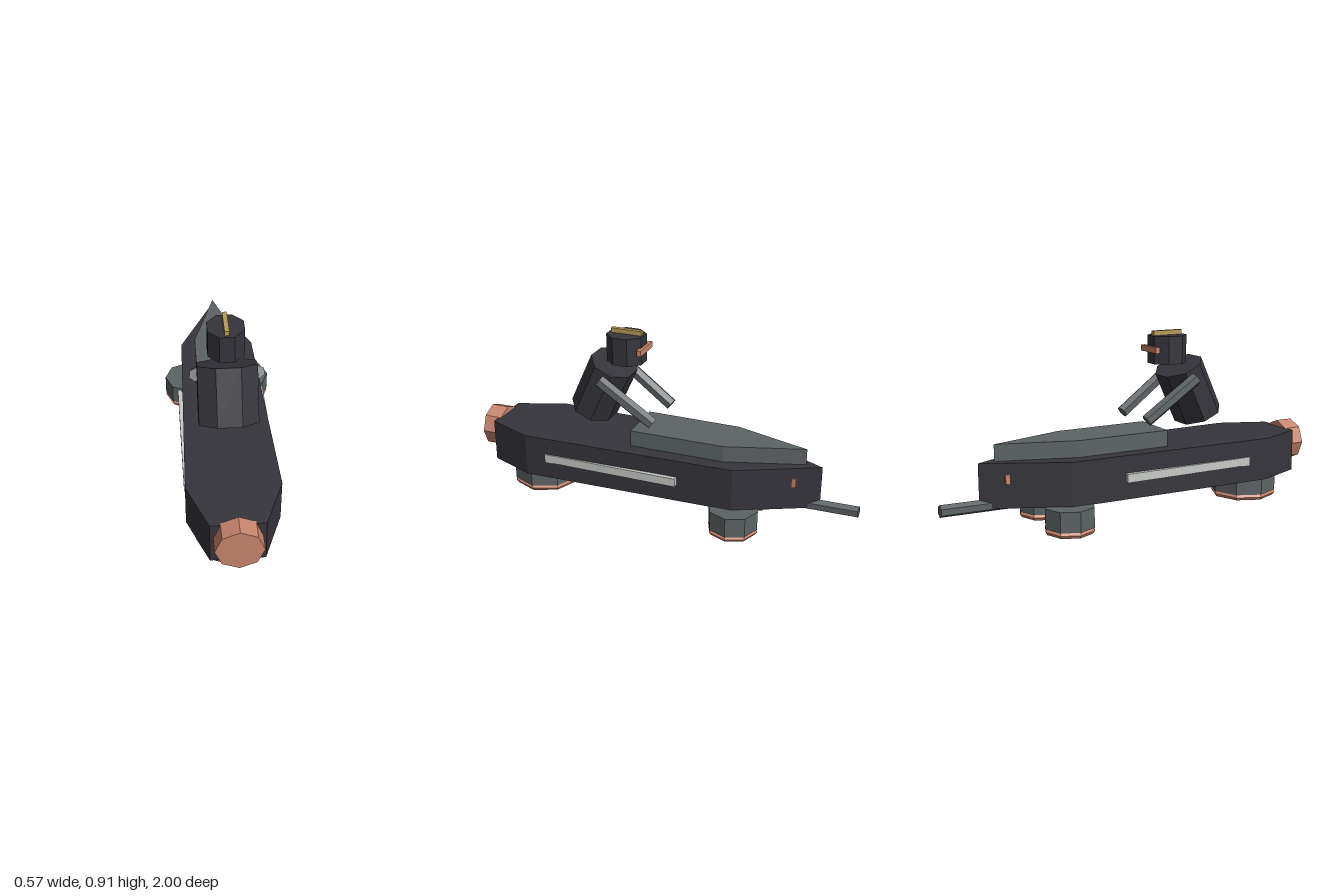
import * as THREE from 'three';

const mat = (name, color) => {
  const m = new THREE.MeshStandardMaterial({ color });
  m.name = name;
  return m;
};

export function createModel() {
  const dark = mat('charcoal', 0x36353c);
  const gray = mat('slate gray', 0x5d6365);
  const copper = mat('copper', 0xc9866e);
  const pale = mat('pale silver', 0xc6cac6);
  const gold = mat('gold', 0xb89c58);

  const model = new THREE.Group();
  model.name = 'hoverBike';

  // Faceted mesh helper
  const add = (name, geo, material, x = 0, y = 0, z = 0) => {
    const g = geo.index ? geo.toNonIndexed() : geo;
    g.computeVertexNormals();
    const mesh = new THREE.Mesh(g, material);
    mesh.name = name;
    mesh.position.set(x, y, z);
    model.add(mesh);
    return mesh;
  };
  const box = (name, w, h, d, material, x, y, z) =>
    add(name, new THREE.BoxGeometry(w, h, d), material, x, y, z);

  // Symmetric plan outline ([half width, z] from tail to front) raised between two heights
  const slab = (name, half, y0, y1, material) => {
    const mirrored = half.filter(([x]) => x > 0).reverse().map(([x, z]) => [-x, z]);
    const pts = [...half, ...mirrored].map(([x, z]) => new THREE.Vector2(x, z));
    const geo = new THREE.ExtrudeGeometry(new THREE.Shape(pts), { depth: y1 - y0, bevelEnabled: false });
    geo.rotateX(Math.PI / 2);
    return add(name, geo, material, 0, y1, 0);
  };

  // Straight rod between two points
  const rod = (name, a, b, r, sides, material) => {
    const from = new THREE.Vector3(...a), to = new THREE.Vector3(...b);
    const dir = to.clone().sub(from);
    const mesh = add(name, new THREE.CylinderGeometry(r, r, dir.length(), sides), material);
    mesh.position.copy(from).add(to).multiplyScalar(0.5);
    mesh.quaternion.setFromUnitVectors(new THREE.Vector3(0, 1, 0), dir.normalize());
    return mesh;
  };

  // Octagonal prism with flat sides facing front, back, left and right
  const octagon = (halfX, halfZ, height) => {
    const c = 1 / Math.cos(Math.PI / 8);
    return new THREE.CylinderGeometry(c, c, height, 8).rotateY(Math.PI / 8).scale(halfX, 1, halfZ);
  };

  // Body
  slab('hull', [[0, -0.81], [0.19, -0.42], [0.22, 0.68], [0.125, 0.92]], 0.127, 0.345, dark);
  slab('rearDeck', [[0, -0.73], [0.12, -0.35], [0.125, 0.135]], 0.345, 0.427, gray);
  add('noseLamp', new THREE.CylinderGeometry(0.11, 0.11, 0.093, 8).rotateX(Math.PI / 2),
    copper, 0, 0.268, 0.9535);
  rod('tailPipe', [0, 0.135, -0.57], [0, 0.142, -1], 0.03, 6, gray);
  box('tailMarkers', 0.13, 0.046, 0.02, copper, 0, 0.268, -0.69);

  // Hover pods: one in front, a pair behind
  const pods = [['front', 0.175, 0, 0.685], ['rearLeft', 0.125, 0.158, -0.42], ['rearRight', 0.125, -0.158, -0.42]];
  for (const [name, r, x, z] of pods) {
    add(name + 'Pod', new THREE.CylinderGeometry(r, r, 0.1, 8), gray, x, 0.08, z);
    const ring = new THREE.TorusGeometry(r - 0.02, 0.021, 6, 8).rotateX(Math.PI / 2).scale(1, 0.88, 1);
    add(name + 'PodRing', ring, copper, x, 0.016, z);
    add(name + 'PodCore', new THREE.CylinderGeometry(r * 0.56, r * 0.56, 0.02, 8), copper, x, 0.022, z);
  }

  // Rider
  add('torso', octagon(0.14, 0.109, 0.279), dark, 0, 0.599, 0.328).rotation.x = -0.43;
  add('head', octagon(0.086, 0.0925, 0.14), dark, 0, 0.817, 0.202);
  box('headCrest', 0.022, 0.026, 0.16, gold, 0, 0.897, 0.2);
  box('headBand', 0.15, 0.03, 0.022, copper, 0, 0.82, 0.107);

  // Mirrored arms and side strips
  for (const [side, s] of [['left', 1], ['right', -1]]) {
    rod(side + 'Arm', [s * 0.146, 0.68, 0.287], [s * 0.127, 0.487, 0.015], 0.032, 6, gray);
    box(side + 'SideStrip', 0.022, 0.043, 0.71, pale, s * 0.211, 0.237, 0.215);
  }

  return model;
}
